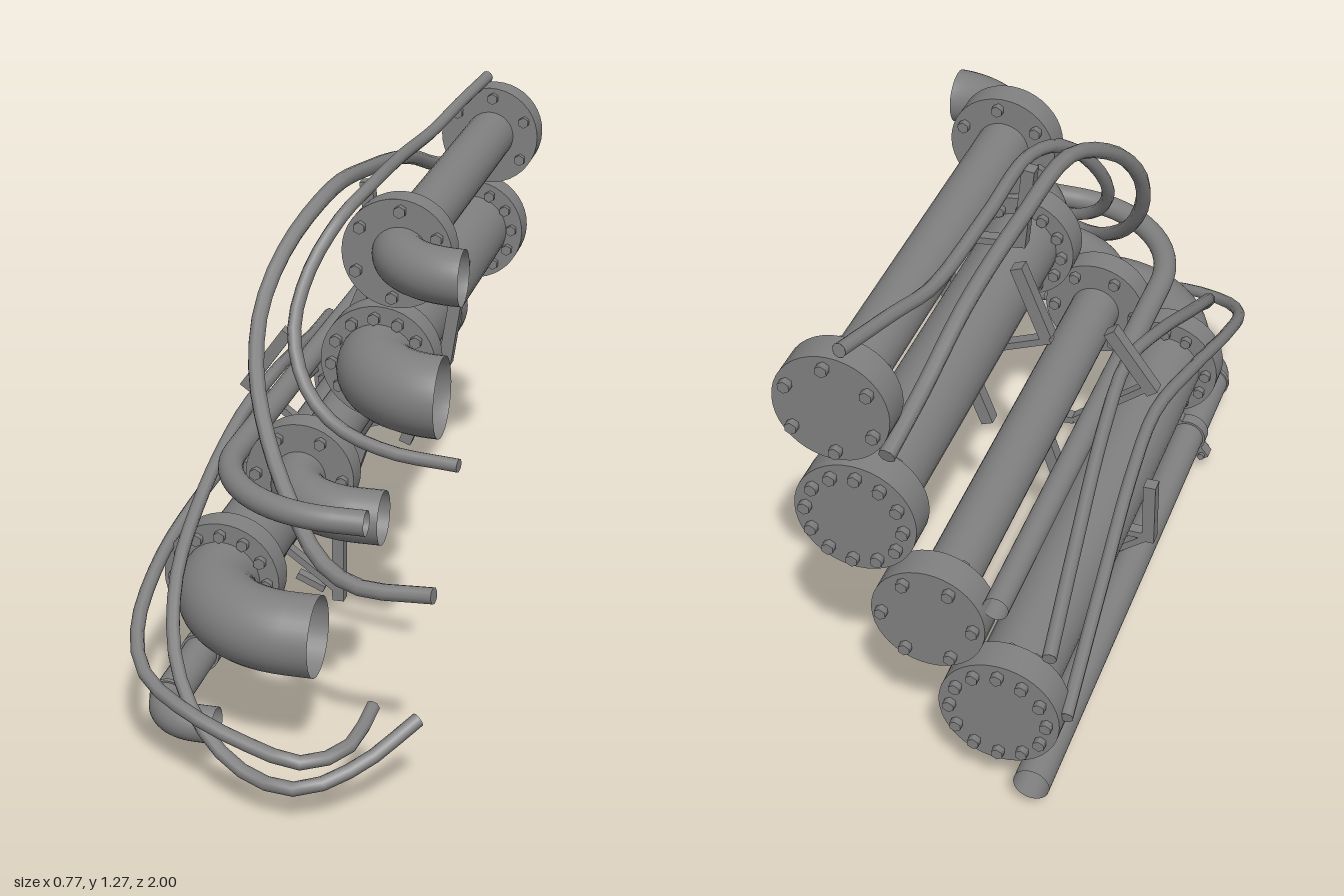
import * as THREE from 'three';

const mat = new THREE.MeshStandardMaterial({ color: 0x808080, side: THREE.DoubleSide });
const V = (x, y, z) => new THREE.Vector3(x, y, z);

function add(parent, geometry, name) {
  const mesh = new THREE.Mesh(geometry, mat);
  mesh.name = name;
  parent.add(mesh);
  return mesh;
}

// Cylinder along z between two depths
function zCylinder(r, z0, z1, sides = 32, open = false) {
  return new THREE.CylinderGeometry(r, r, Math.abs(z1 - z0), sides, 1, open)
    .rotateX(Math.PI / 2).translate(0, 0, (z0 + z1) / 2);
}

// Straight pipe with a quarter bend that turns towards +x, open at its ends
function bentPipe({ x, y, r, back, endX, endZ, bend }) {
  const g = new THREE.Group();
  g.position.set(x, y, 0);
  const start = endZ - bend;
  add(g, zCylinder(r, back, start, 32, true), 'pipeRun');
  const elbow = new THREE.TorusGeometry(bend, r, 32, 16, Math.PI / 2)
    .rotateX(-Math.PI / 2).rotateY(Math.PI).translate(bend, 0, start);
  add(g, elbow, 'pipeElbow');
  const tail = endX - x - bend;
  if (tail > 0.003) {
    const outlet = new THREE.CylinderGeometry(r, r, tail, 32, 1, true)
      .rotateZ(Math.PI / 2).translate(bend + tail / 2, 0, endZ);
    add(g, outlet, 'pipeOutlet');
  }
  return g;
}

// Flange disc with a ring of hexagonal bolts
function flange(r, z0, z1, count, turn) {
  const g = new THREE.Group();
  g.name = 'flange';
  add(g, zCylinder(r, z0, z1, 40), 'flangeDisc');
  for (let i = 0; i < count; i++) {
    const a = (i / count) * Math.PI * 2 + turn;
    const bolt = add(g, zCylinder(0.015, z0 - 0.018, z1 + 0.018, 6), 'bolt');
    bolt.position.set(Math.cos(a) * r * 0.8, Math.sin(a) * r * 0.8, 0);
  }
  return g;
}

// Rectangular bar between two points
function bar(parent, a, b, w, d, name) {
  const mesh = add(parent, new THREE.BoxGeometry(w, a.distanceTo(b), d), name);
  mesh.position.copy(a).add(b).multiplyScalar(0.5);
  mesh.quaternion.setFromUnitVectors(V(0, 1, 0), b.clone().sub(a).normalize());
}

// Flexible cable through a few points, closed at both ends
function cable(parent, pts, r, name) {
  const curve = new THREE.CatmullRomCurve3(pts.map(p => V(...p)));
  add(parent, new THREE.TubeGeometry(curve, 40, r, 8), name);
  for (const t of [0, 1]) {
    const cap = add(parent, new THREE.CircleGeometry(r, 8), name + 'End');
    const p = curve.getPointAt(t);
    cap.position.copy(p);
    cap.lookAt(p.clone().add(curve.getTangentAt(t).multiplyScalar(t ? 1 : -1)));
  }
}

export function createModel() {
  const model = new THREE.Group();
  model.name = 'pipeBundle';

  // Flanged pipes, from top to bottom
  const pipes = [
    { name: 'topPipe', x: 0.153, y: 1.108, r: 0.067, endX: 0.345, endZ: 0.345, bend: 0.19, fr: 0.135, fz: 0.14, ft: 0.07, bz: -0.973, bolts: 6, turn: 0.44 },
    { name: 'upperPipe', x: 0.107, y: 0.828, r: 0.098, endX: 0.309, endZ: 0.39, bend: 0.2, fr: 0.143, fz: 0.13, ft: 0.075, bz: -0.983, bolts: 12, turn: 0.07 },
    { name: 'middlePipe', x: -0.052, y: 0.57, r: 0.065, endX: 0.202, endZ: 0.527, bend: 0.19, fr: 0.135, fz: 0.275, ft: 0.07, bz: -0.98, bolts: 6, turn: 0 },
    { name: 'lowerPipe', x: -0.217, y: 0.333, r: 0.097, endX: 0.09, endZ: 0.7, bend: 0.24, fr: 0.145, fz: 0.395, ft: 0.07, bz: -0.983, bolts: 12, turn: 0 },
  ];
  for (const p of pipes) {
    const g = bentPipe({ ...p, back: p.bz + 0.03 });
    g.name = p.name;
    g.add(flange(p.fr, p.fz, p.fz + p.ft, p.bolts, p.turn));
    g.add(flange(p.fr, p.bz, p.bz + 0.08, p.bolts, p.turn));
    model.add(g);
  }

  // Thin side pipe and bottom pipe, without flanges
  const side = bentPipe({ x: -0.205, y: 0.628, r: 0.03, back: -0.96, endX: 0.202, endZ: 0.69, bend: 0.33 });
  side.name = 'thinSidePipe';
  const bottom = bentPipe({ x: -0.288, y: 0.105, r: 0.044, back: -0.965, endX: -0.138, endZ: 0.767, bend: 0.1 });
  bottom.name = 'bottomPipe';
  add(bottom, zCylinder(0.048, 0.662, 0.675), 'pipeCollar');
  model.add(side, bottom);

  // Clamp around the bottom pipe, with two bolted ears
  const clamp = new THREE.Group();
  clamp.name = 'pipeClamp';
  add(clamp, zCylinder(0.05, 0.4, 0.435), 'clampBand');
  for (const s of [-1, 1]) {
    const ear = add(clamp, new THREE.BoxGeometry(0.03, 0.035, 0.035), 'clampEar');
    ear.position.set(0, s * 0.065, 0.417);
    const bolt = add(clamp, zCylinder(0.01, 0.39, 0.445, 6), 'clampBolt');
    bolt.position.y = s * 0.07;
  }
  clamp.rotation.z = -0.65;
  bottom.add(clamp);

  // Flexible cables sweeping along the bundle
  cable(model, [[0.375, 0.715, 0.515], [0.2, 0.72, 0.485], [0.06, 0.75, 0.43], [-0.03, 0.82, 0.37],
    [-0.075, 0.93, 0.3], [-0.06, 1.05, 0.22], [-0.01, 1.155, 0.12], [0.03, 1.2, -0.02],
    [0.04, 1.2, -0.3], [0.06, 1.195, -0.6], [0.09, 1.225, -0.76], [0.13, 1.258, -0.96]], 0.017, 'upperCable');
  cable(model, [[0.38, 0.515, 0.785], [0.2, 0.5, 0.755], [0.1, 0.52, 0.695], [0, 0.6, 0.59],
    [-0.09, 0.72, 0.48], [-0.14, 0.85, 0.4], [-0.15, 0.98, 0.32], [-0.12, 1.1, 0.21],
    [-0.06, 1.195, 0.02], [-0.03, 1.18, -0.25], [0, 1.13, -0.55], [0.02, 1.05, -0.78], [0.035, 1, -0.96]], 0.02, 'middleCable');
  cable(model, [[0.348, 0.2, 0.785], [0.24, 0.13, 0.9], [0.12, 0.095, 0.975], [0, 0.1, 0.955],
    [-0.12, 0.16, 0.9], [-0.22, 0.27, 0.8], [-0.27, 0.4, 0.65], [-0.28, 0.52, 0.42],
    [-0.26, 0.63, 0.15], [-0.235, 0.67, -0.05], [-0.25, 0.64, -0.3], [-0.29, 0.57, -0.65], [-0.33, 0.515, -0.96]], 0.017, 'innerLowCable');
  cable(model, [[0.24, 0.213, 0.775], [0.215, 0.175, 0.9], [0.13, 0.165, 0.978], [0, 0.185, 0.965],
    [-0.15, 0.222, 0.925], [-0.28, 0.26, 0.845], [-0.34, 0.31, 0.73], [-0.355, 0.39, 0.52],
    [-0.33, 0.46, 0.25], [-0.3, 0.495, 0], [-0.31, 0.48, -0.25], [-0.34, 0.42, -0.6], [-0.37, 0.345, -0.96]], 0.017, 'outerLowCable');

  // Support brackets between neighbouring pipes: side bars joined by thin struts
  const brackets = [
    { name: 'topBracket', z: -0.07, bars: [[0.255, 1.01, 0.215, 0.74], [0.01, 1.2, 0.035, 0.98]], struts: [[0.03, 0.985, 0.25, 0.965]] },
    { name: 'upperBracket', z: -0.15, bars: [[0.19, 0.73, 0.095, 0.48], [0.015, 0.97, -0.06, 0.78]], struts: [[-0.07, 0.775, 0.2, 0.67]] },
    { name: 'middleBracket', z: -0.08, bars: [[-0.2, 0.78, -0.315, 0.62], [0, 0.5, -0.09, 0.23]], struts: [[-0.31, 0.64, -0.11, 0.485], [-0.11, 0.485, 0, 0.48]] },
    { name: 'lowerBracket', z: -0.15, bars: [[-0.085, 0, -0.085, 0.23], [-0.335, 0.2, -0.335, 0.38]], struts: [[-0.33, 0.21, -0.09, 0.03], [-0.2, 0.06, -0.125, 0.027], [-0.335, 0.215, -0.085, 0.215]] },
  ];
  for (const { name, z, bars, struts } of brackets) {
    const g = new THREE.Group();
    g.name = name;
    for (const [x0, y0, x1, y1] of bars) bar(g, V(x0, y0, z), V(x1, y1, z), 0.032, 0.035, 'bracketBar');
    for (const [x0, y0, x1, y1] of struts) bar(g, V(x0, y0, z), V(x1, y1, z), 0.018, 0.03, 'bracketStrut');
    model.add(g);
  }
  return model;
}
